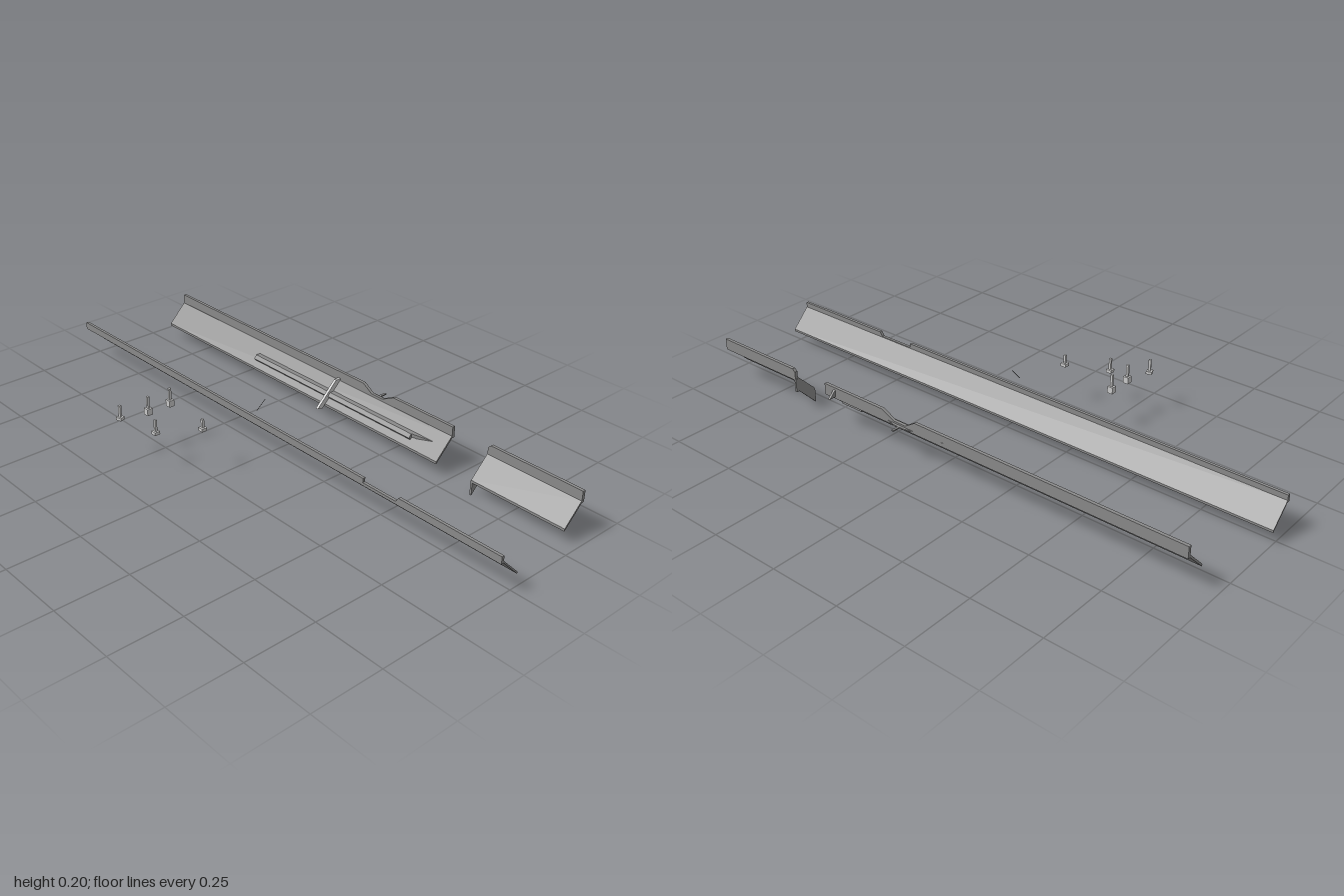
import * as THREE from 'three';

export function createModel() {
  const group = new THREE.Group();
  const steel = new THREE.MeshStandardMaterial({ color: 0x8a8a8a });
  steel.name = 'grey steel';
  const bright = new THREE.MeshStandardMaterial({ color: 0xcccccc });
  bright.name = 'bright metal';

  const add = (name, geometry, material = steel) => {
    const mesh = new THREE.Mesh(geometry, material);
    mesh.name = name;
    group.add(mesh);
    return mesh;
  };
  const shapeOf = (points) => new THREE.Shape(points.map(([a, b]) => new THREE.Vector2(a, b)));
  const extrude = (points, depth) =>
    new THREE.ExtrudeGeometry(shapeOf(points), { depth, bevelEnabled: false });
  // [z, y] section swept from x0 to x1
  const alongX = (points, x0, x1) =>
    extrude(points.map(([z, y]) => [-z, y]), x1 - x0).rotateY(Math.PI / 2).translate(x0, 0, 0);
  // [x, y] outline given thickness from z0 to z1
  const alongZ = (points, z0, z1) => extrude(points, z1 - z0).translate(0, 0, z0);

  // Front rail: sloping web with a notched upright flange
  add('frontRailWeb', alongX([[0.052, 0.111], [0.042, 0.118], [-0.025, 0.051], [-0.025, 0.043], [0.042, 0.111]], -1, 1));
  add('frontRailFlange', alongZ([
    [-1, 0.111], [1, 0.111], [1, 0.136], [0.615, 0.136], [0.605, 0.121],
    [0.47, 0.121], [0.47, 0.136], [-1, 0.136],
  ], 0.042, 0.052));

  // Back rails: one long, one short
  const backWeb = [[-0.367, 0.115], [-0.355, 0.122], [-0.288, 0.054], [-0.288, 0.045], [-0.357, 0.114]];
  add('longRailWeb', alongX(backWeb, -0.93, 0.46));
  add('longRailFlange', alongZ([
    [-0.93, 0.115], [0.46, 0.115], [0.46, 0.155], [0.2, 0.155], [0.15, 0.13],
    [0.1, 0.13], [0.06, 0.155], [-0.93, 0.155],
  ], -0.367, -0.356));
  add('shortRailWeb', alongX(backWeb, 0.605, 0.96));
  add('shortRailFlange', alongZ([
    [0.605, 0.115], [0.96, 0.115], [0.96, 0.155], [0.615, 0.155], [0.605, 0.145],
  ], -0.367, -0.356));
  add('shortRailEndPlate', alongX([
    [-0.288, 0], [-0.288, 0.05], [-0.356, 0.118], [-0.367, 0.118], [-0.367, 0.071], [-0.356, 0.071],
  ], 0.603, 0.61));

  // Lugs on the rear of the long rail
  add('rearTab', extrude([[0.06, 0.366], [0.18, 0.366], [0.14, 0.376], [0.1, 0.376]], 0.004)
    .rotateX(-Math.PI / 2).translate(0, 0.12, 0));
  add('rearPin', new THREE.BoxGeometry(0.008, 0.004, 0.04).translate(0.12, 0.122, -0.383));
  add('rearRib', alongX([[-0.366, 0.148], [-0.393, 0.122], [-0.366, 0.122]], 0.411, 0.419));

  // Ledge on the long rail, its right end tapered toward the back
  const ledge = alongX([[-0.333, 0.092], [-0.308, 0.092], [-0.298, 0.08], [-0.308, 0.068], [-0.333, 0.09]], -0.44, 0.33);
  add('ledge', ledge);
  add('ledgeTip', extrude([[0.33, 0.333], [0.33, 0.31], [0.42, 0.327], [0.42, 0.333]], 0.012)
    .rotateX(-Math.PI / 2).translate(0, 0.08, 0));

  // Bright blade lying across the slope
  add('crossBlade', alongX([
    [-0.252, 0.047], [-0.271, 0.041], [-0.355, 0.124], [-0.368, 0.13], [-0.335, 0.13],
  ], -0.06, -0.05), bright);

  // Loose wire pin
  const a = new THREE.Vector3(-0.015, 0.165, 0.052);
  const b = new THREE.Vector3(-0.006, 0.201, 0.024);
  add('wirePin', new THREE.TubeGeometry(new THREE.LineCurve3(a, b), 1, 0.001, 5));

  // Loose bolts: x, z, bottom, head height, top, turn
  const bolts = [
    [-0.27, 0.209, 0.135, 0.023, 0.2, 0],
    [-0.055, 0.242, 0.146, 0.011, 0.187, 0],
    [-0.27, 0.297, 0.135, 0.023, 0.2, 0],
    [-0.17, 0.342, 0.121, 0.011, 0.172, 0],
    [-0.295, 0.39, 0.139, 0.01, 0.19, 0.3],
  ];
  for (const [x, z, bottom, head, top, turn] of bolts) {
    const bolt = new THREE.Group();
    bolt.name = 'bolt';
    const headMesh = new THREE.Mesh(new THREE.BoxGeometry(0.02, head, 0.02), bright);
    headMesh.name = 'boltHead';
    headMesh.position.y = bottom + head / 2;
    const length = top - bottom - head;
    const shank = new THREE.Mesh(new THREE.BoxGeometry(0.008, length, 0.008), bright);
    shank.name = 'boltShank';
    shank.position.y = top - length / 2;
    bolt.add(headMesh, shank);
    bolt.position.set(x, 0, z);
    bolt.rotation.y = turn;
    group.add(bolt);
  }
  return group;
}
